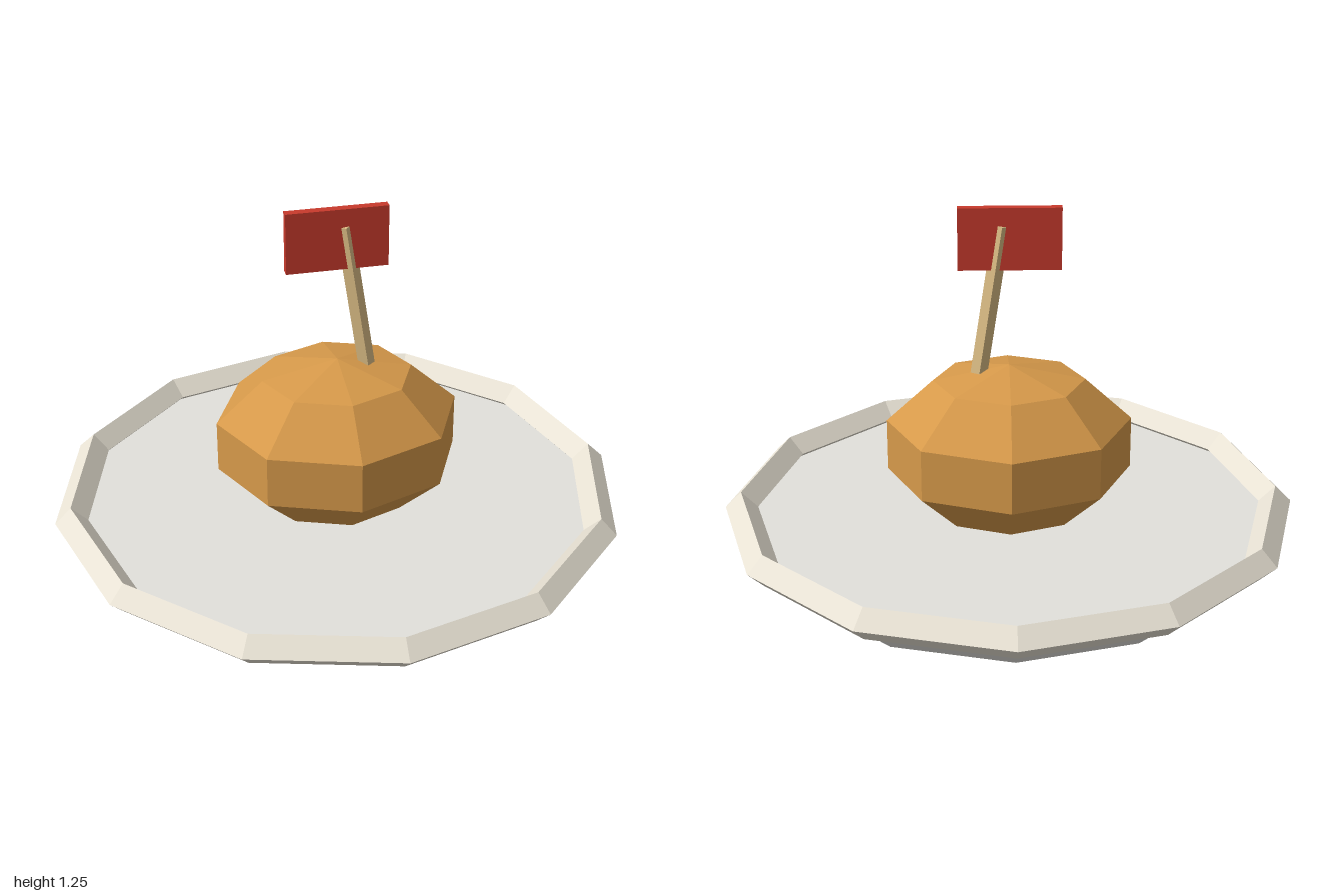
import * as THREE from 'three';

function part(name, geometry, color, parent) {
  const material = new THREE.MeshStandardMaterial({ color, flatShading: true });
  const mesh = new THREE.Mesh(geometry, material);
  mesh.name = name;
  parent.add(mesh);
  return mesh;
}

export function createModel() {
  const model = new THREE.Group();
  model.name = 'bunOnPlate';

  // Twelve-sided plate: flared dish with a diamond-section rim
  const plate = new THREE.Group();
  plate.name = 'plate';
  model.add(plate);
  const dish = part('dish', new THREE.CylinderGeometry(0.96, 0.795, 0.15, 12), 0xe2e1dc, plate);
  dish.position.y = 0.075;
  const rim = part('rim', new THREE.TorusGeometry(0.943, 0.057, 4, 12), 0xe8e2d4, plate);
  rim.rotation.x = Math.PI / 2;
  rim.position.y = 0.163;

  // Faceted bun, slightly wider than deep
  const bun = part('bun', new THREE.SphereGeometry(1, 8, 5), 0xd6994a, model);
  bun.scale.set(0.446, 0.295, 0.394);
  bun.position.y = 0.398;

  // Leaning four-sided stick, sunk into the bun and poking through the flag
  const length = 0.64;
  const stick = part('flagStick', new THREE.CylinderGeometry(0.029, 0.029, length, 4).translate(0, -length / 2, 0), 0xd9bb84, model);
  stick.position.set(0.024, 1.187, 0);
  stick.rotation.z = 0.15;

  // Flag
  const flag = part('flag', new THREE.BoxGeometry(0.348, 0.215, 0.03), 0xc83a2c, model);
  flag.position.set(-0.002, 1.143, 0);

  return model;
}
